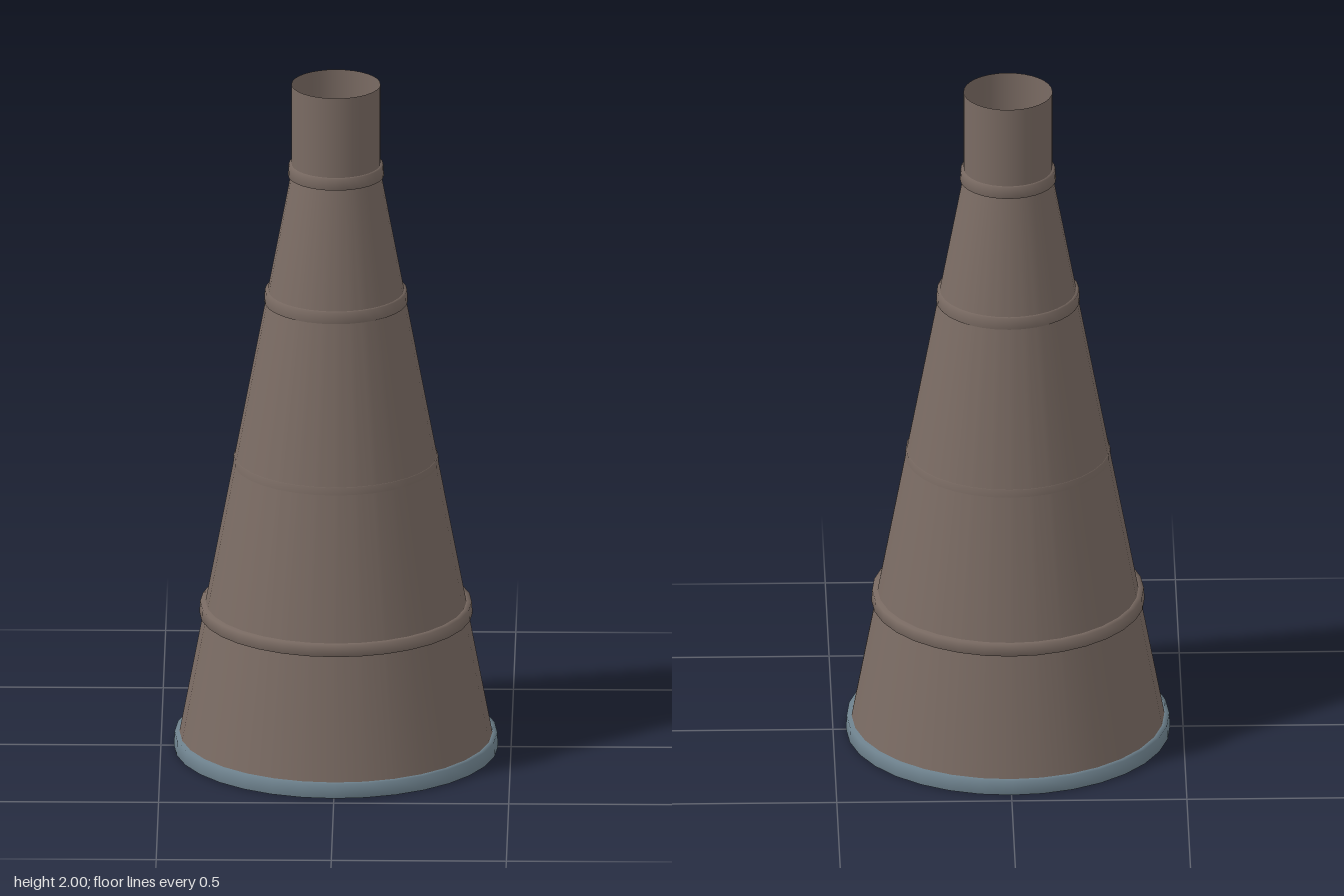
import * as THREE from 'three';

const SEGMENTS = 32;
const BASE_R = 0.455, NECK_R = 0.127, NECK_Y = 1.74, TOP_Y = 2;

// Cone radius at a given height
const coneRadius = (y) => THREE.MathUtils.lerp(BASE_R, NECK_R, Math.min(y / NECK_Y, 1));

export function createModel() {
  const group = new THREE.Group();
  const brown = new THREE.MeshStandardMaterial({ color: 0x7a6b63, side: THREE.DoubleSide });
  brown.name = 'warm brown';
  const slate = new THREE.MeshStandardMaterial({ color: 0x708490, side: THREE.DoubleSide });
  slate.name = 'slate blue';
  const dark = new THREE.MeshStandardMaterial({ color: 0x222222 });
  dark.name = 'dark interior';

  const add = (name, geometry, material, y = 0) => {
    const mesh = new THREE.Mesh(geometry, material);
    mesh.name = name;
    mesh.position.y = y;
    group.add(mesh);
    return mesh;
  };

  // Band wrapped round the cone, open in the middle
  const band = (name, y0, y1, outer, material) => {
    const points = [
      [coneRadius(y0) - 0.003, y0],
      [outer, y0 + 0.001],
      [outer - 0.002, y1 - 0.001],
      [coneRadius(y1) - 0.003, y1],
    ].map(([r, y]) => new THREE.Vector2(r, y));
    add(name, new THREE.LatheGeometry(points, SEGMENTS), material);
  };

  // Open tapered shell and straight neck
  add('taperedShell',
    new THREE.CylinderGeometry(NECK_R, BASE_R, NECK_Y, SEGMENTS, 1, true), brown, NECK_Y / 2);
  add('neck',
    new THREE.CylinderGeometry(NECK_R, NECK_R, TOP_Y - NECK_Y, SEGMENTS, 1, true),
    brown, (TOP_Y + NECK_Y) / 2);

  // Reinforcing bands, from the bottom up
  [[0.42, 0.39], [0.863, 0.294], [1.362, 0.205], [1.742, 0.137]].forEach(([y, r], i) =>
    band(`band${i + 1}`, y - 0.018, y + 0.018, r, brown));

  // Foot rim
  band('footRim', 0, 0.044, 0.463, slate);

  // Dark disc inside the neck, with a small gap round it
  const disc = add('innerDisc', new THREE.CircleGeometry(0.119, SEGMENTS), dark, 1.8);
  disc.rotation.x = -Math.PI / 2;

  return group;
}
